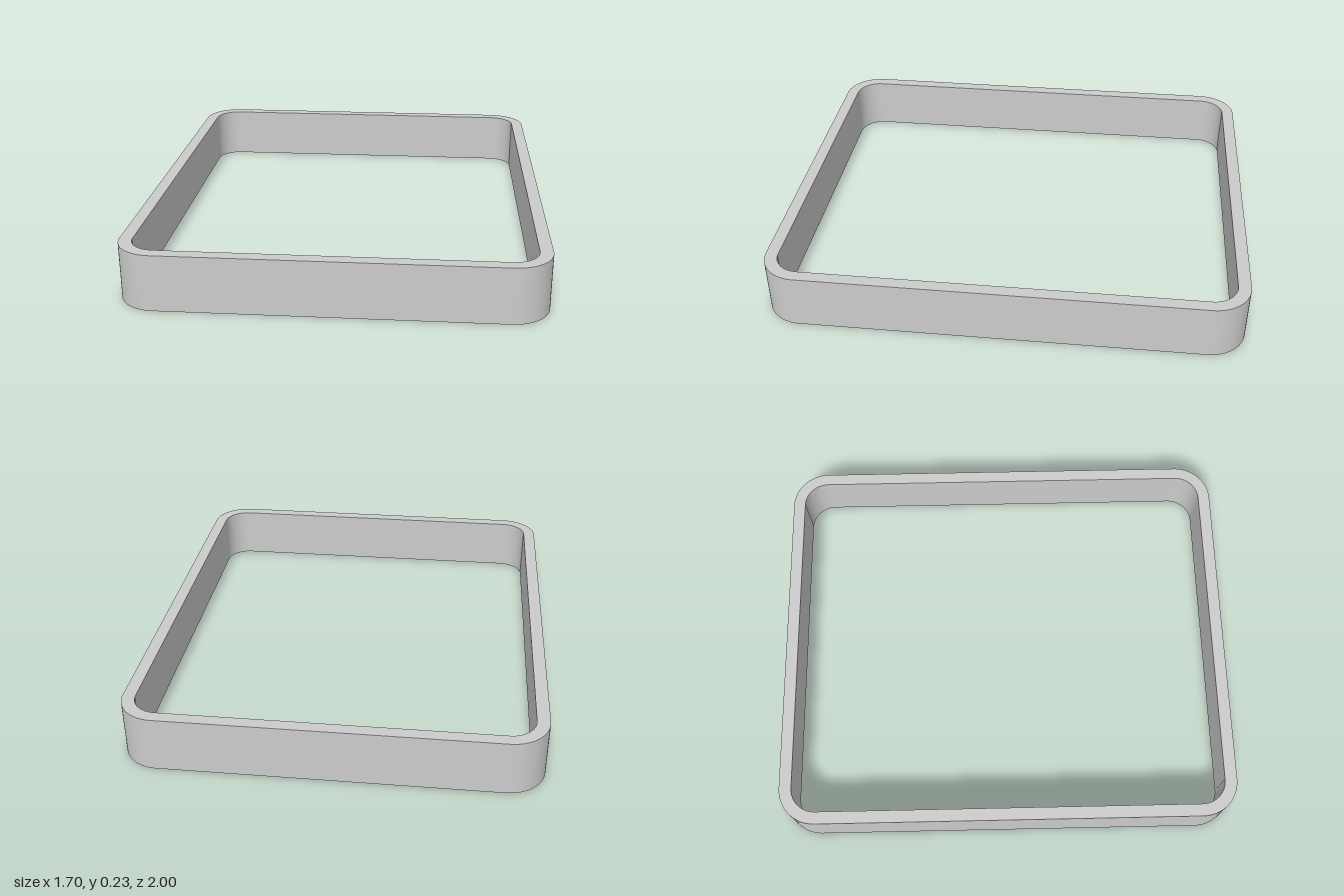
import * as THREE from 'three';
import { toCreasedNormals } from 'three/addons/utils/BufferGeometryUtils.js';

const HALF_WIDTH = 0.85;
const HALF_DEPTH = 1;
const HEIGHT = 0.235;
const WALL = 0.053;
const RADIUS = 0.16;

// Traces a rectangle with rounded corners, centred on the origin
function roundedRect(path, hx, hy, r) {
  path.moveTo(hx, r - hy);
  path.absarc(hx - r, hy - r, r, 0, Math.PI / 2);
  path.absarc(r - hx, hy - r, r, Math.PI / 2, Math.PI);
  path.absarc(r - hx, r - hy, r, Math.PI, Math.PI * 1.5);
  path.absarc(hx - r, r - hy, r, Math.PI * 1.5, Math.PI * 2);
  return path;
}

export function createModel() {
  const group = new THREE.Group();
  group.name = 'roundedFrame';

  // Outline with a concentric opening, so the wall is even all round
  const outline = roundedRect(new THREE.Shape(), HALF_WIDTH, HALF_DEPTH, RADIUS);
  outline.holes.push(
    roundedRect(new THREE.Path(), HALF_WIDTH - WALL, HALF_DEPTH - WALL, RADIUS - WALL)
  );

  // Extrude upwards; corners smooth, rims sharp
  const extruded = new THREE.ExtrudeGeometry(outline, {
    depth: HEIGHT,
    bevelEnabled: false,
    curveSegments: 16,
  });
  extruded.rotateX(-Math.PI / 2);
  const geometry = toCreasedNormals(extruded, Math.PI / 6);

  const wall = new THREE.Mesh(geometry, new THREE.MeshStandardMaterial({ color: 0xcccccc }));
  wall.name = 'frameWall';
  group.add(wall);
  return group;
}
